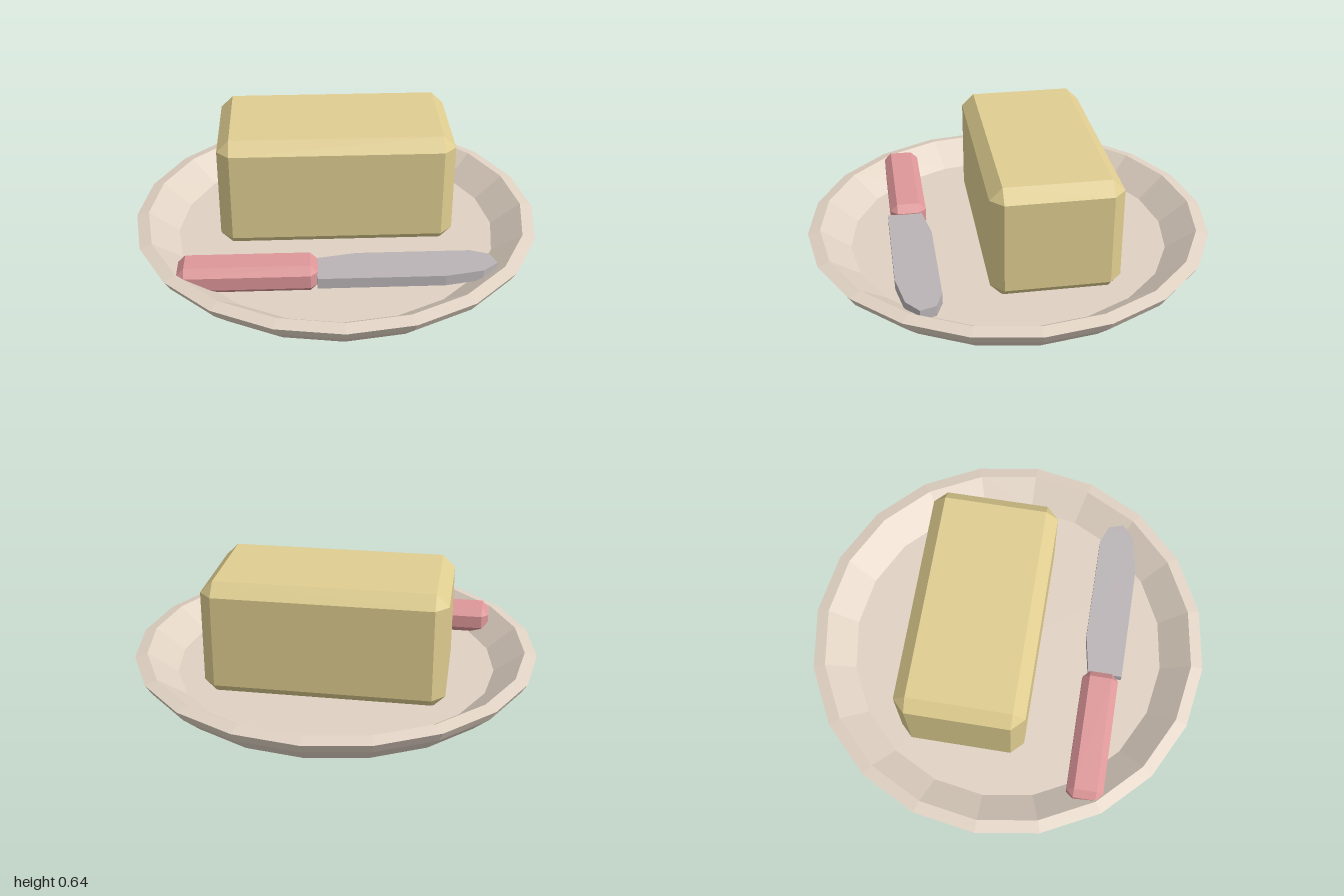
import * as THREE from 'three';
import { ConvexGeometry } from 'three/addons/geometries/ConvexGeometry.js';

function material(name, color) {
  const m = new THREE.MeshStandardMaterial({ color, flatShading: true });
  m.name = name;
  return m;
}

// Box with every edge chamfered by b
function chamferBox(w, h, d, b) {
  const pts = [];
  for (const sx of [-1, 1]) for (const sy of [-1, 1]) for (const sz of [-1, 1]) {
    const x = w / 2, y = h / 2, z = d / 2;
    pts.push(
      new THREE.Vector3(sx * x, sy * (y - b), sz * (z - b)),
      new THREE.Vector3(sx * (x - b), sy * y, sz * (z - b)),
      new THREE.Vector3(sx * (x - b), sy * (y - b), sz * z));
  }
  return new ConvexGeometry(pts);
}

export function createModel() {
  const group = new THREE.Group();
  group.name = 'butterDish';
  const add = (name, geometry, mat, x = 0, y = 0, z = 0) => {
    const mesh = new THREE.Mesh(geometry, mat);
    mesh.name = name;
    mesh.position.set(x, y, z);
    group.add(mesh);
    return mesh;
  };

  // Plate: underside, rim, then the sunken floor
  const profile = [[0, 0], [0.74, 0], [0.88, 0.04], [0.97, 0.125], [1, 0.175],
    [0.94, 0.19], [0.795, 0.08], [0, 0.08]].map(([r, y]) => new THREE.Vector2(r, y));
  add('plate', new THREE.LatheGeometry(profile, 20), material('stoneware', 0xe0d2c3));

  // Butter block, set towards the back
  add('butter', chamferBox(1.15, 0.57, 0.62, 0.06), material('butterYellow', 0xdfcd90),
    0, 0.355, -0.145);

  // Knife handle
  add('knifeHandle', chamferBox(0.65, 0.135, 0.18, 0.035), material('pinkHandle', 0xde9799),
    -0.43, 0.1525, 0.495);

  // Knife blade, outlined as x and z
  const outline = [[-0.11, 0.6], [0.48, 0.6], [0.66, 0.565], [0.735, 0.505],
    [0.71, 0.43], [0.62, 0.395], [0.08, 0.395], [-0.11, 0.43]];
  const shape = new THREE.Shape(outline.map(([x, z]) => new THREE.Vector2(x, -z)));
  const blade = new THREE.ExtrudeGeometry(shape, { depth: 0.053, bevelEnabled: false });
  blade.rotateX(-Math.PI / 2);
  add('knifeBlade', blade, material('steel', 0xbab4b6), 0, 0.127, 0);

  return group;
}
